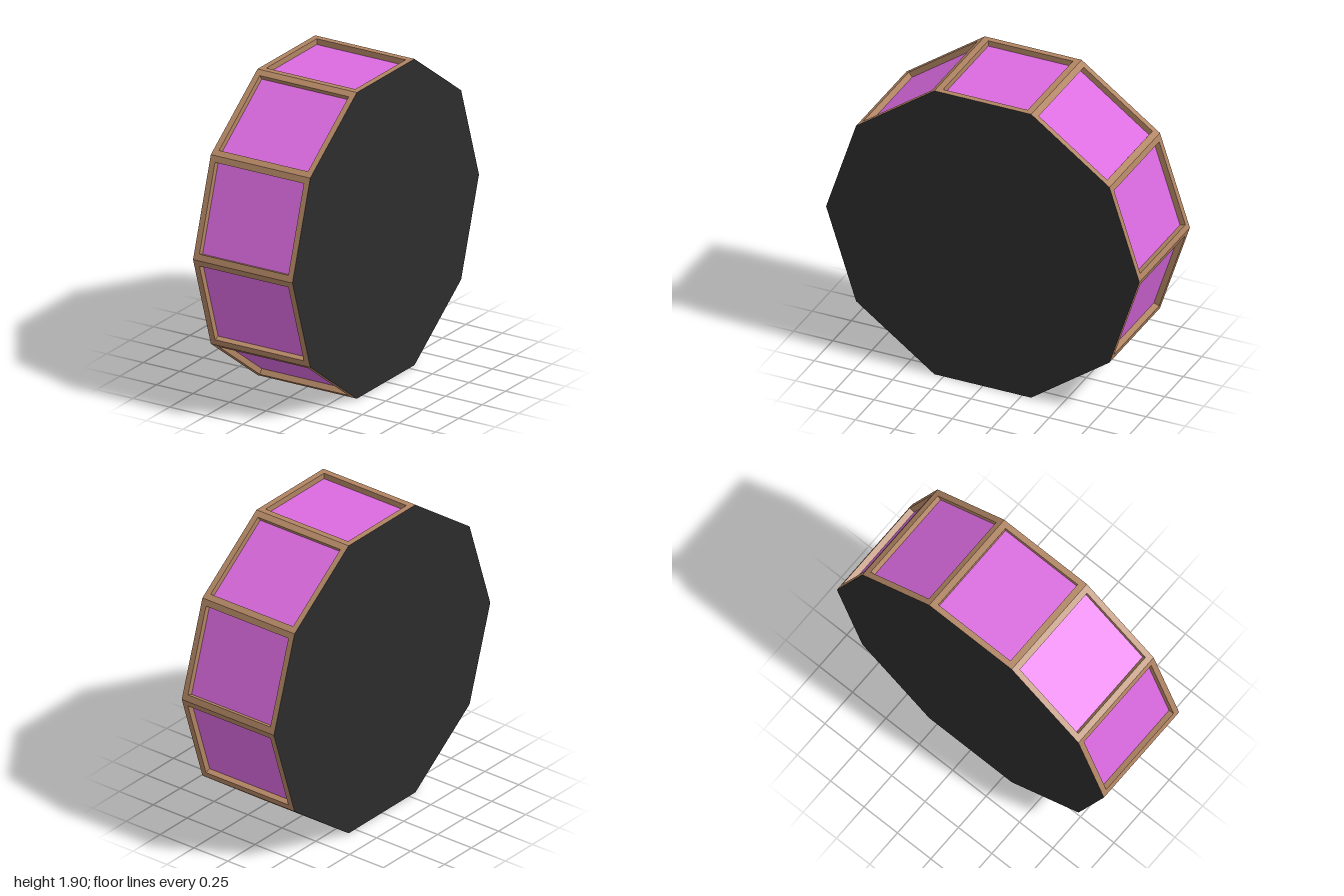
import * as THREE from 'three';

const SIDES = 10, RADIUS = 1, HALF_WIDTH = 0.34;
const APOTHEM = RADIUS * Math.cos(Math.PI / SIDES);
const EDGE = 2 * RADIUS * Math.sin(Math.PI / SIDES);
const BORDER = 0.036, DEPTH = 0.036;
const WIN_W = 2 * (HALF_WIDTH - BORDER), WIN_H = EDGE - 2 * BORDER - 0.006;

const wood = new THREE.MeshStandardMaterial({ color: 0xb08462, flatShading: true });
const pink = new THREE.MeshStandardMaterial({ color: 0xda6adf, flatShading: true });
const dark = new THREE.MeshStandardMaterial({ color: 0x2c2c2c, flatShading: true });

function mesh(name, geometry, material) {
  const m = new THREE.Mesh(geometry, material);
  m.name = name;
  return m;
}

// Rectangle outline centred on the origin
function rectangle(w, h, Type) {
  return new Type([[-w, -h], [w, -h], [w, h], [-w, h]].map(([x, y]) => new THREE.Vector2(x / 2, y / 2)));
}

// One rim segment: a flat border, four recess walls and a sunken panel, facing +z
function createSegment() {
  const segment = new THREE.Group();
  segment.name = 'rimSegment';

  const outline = rectangle(2 * HALF_WIDTH, EDGE, THREE.Shape);
  outline.holes.push(rectangle(WIN_W, WIN_H, THREE.Path));
  segment.add(mesh('frameBorder', new THREE.ShapeGeometry(outline), wood));

  for (let k = 0; k < 4; k++) {
    const [length, offset] = k % 2 ? [WIN_H, WIN_W / 2] : [WIN_W, WIN_H / 2];
    const wall = new THREE.PlaneGeometry(length, DEPTH)
      .rotateX(-Math.PI / 2)
      .translate(0, -offset, -DEPTH / 2)
      .rotateZ(k * Math.PI / 2);
    segment.add(mesh('recessWall', wall, wood));
  }

  const panel = new THREE.PlaneGeometry(WIN_W, WIN_H).translate(0, 0, -DEPTH);
  segment.add(mesh('sunkenPanel', panel, pink));
  return segment;
}

export function createModel() {
  const model = new THREE.Group();
  model.name = 'panelledWheel';

  // Rim segments around the x axis
  for (let i = 0; i < SIDES; i++) {
    const angle = (i + 0.5) * 2 * Math.PI / SIDES;
    const segment = createSegment();
    segment.rotation.x = -angle;
    segment.position.set(0, APOTHEM + APOTHEM * Math.sin(angle), APOTHEM * Math.cos(angle));
    model.add(segment);
  }

  // Flat ten-sided end caps
  for (const side of [1, -1]) {
    const cap = mesh(side > 0 ? 'leftCap' : 'rightCap', new THREE.CircleGeometry(RADIUS, SIDES), dark);
    cap.rotation.y = side * Math.PI / 2;
    cap.position.set(side * HALF_WIDTH, APOTHEM, 0);
    model.add(cap);
  }
  return model;
}
